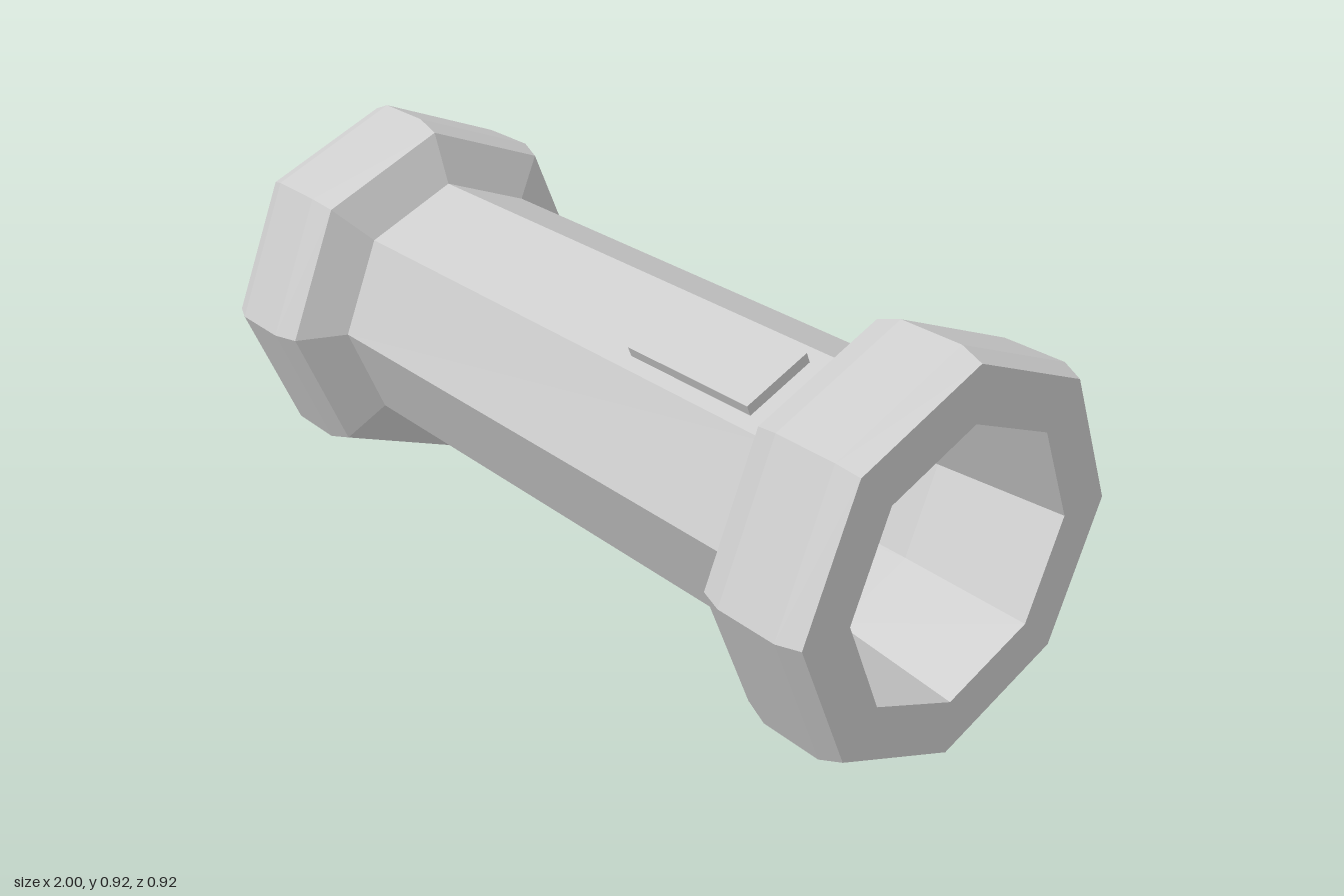
import * as THREE from 'three';

const AXIS_Y = 0.4575; // height of the tube's centre line
const SIDES = 8;

// Faceted octagonal surface from [x, radius] points, turned around the x axis
function turned(name, points, material) {
  const profile = points.map(([x, r]) => new THREE.Vector2(r, x));
  const geometry = new THREE.LatheGeometry(profile, SIDES).rotateZ(-Math.PI / 2).toNonIndexed();
  geometry.computeVertexNormals();
  const mesh = new THREE.Mesh(geometry, material);
  mesh.name = name;
  return mesh;
}

export function createModel() {
  const group = new THREE.Group();
  group.name = 'tubeConnector';
  const grey = new THREE.MeshStandardMaterial({ color: 0xcccccc });
  grey.name = 'light grey';

  const assembly = new THREE.Group();
  assembly.name = 'tubeAssembly';
  assembly.position.y = AXIS_Y;
  group.add(assembly);

  // Straight outer barrel and the bore inside it
  assembly.add(turned('barrel', [[-0.69, 0.318], [0.69, 0.318]], grey));
  assembly.add(turned('bore', [[0.69, 0.283], [-0.69, 0.283]], grey));

  // Collars: flare, chamfered rim, end face and tapered mouth
  const collarProfile = [
    [0.69, 0.318], [0.74, 0.437], [0.8, 0.4575], [0.95, 0.4575],
    [1, 0.437], [1, 0.313], [0.69, 0.283],
  ];
  for (const side of ['left', 'right']) {
    const collar = turned(side + 'Collar', collarProfile, grey);
    if (side === 'right') collar.rotation.y = Math.PI;
    assembly.add(collar);
  }

  // Raised plate lying on the upper front facet
  const tilt = Math.PI / SIDES;
  const plate = new THREE.Mesh(new THREE.BoxGeometry(0.36, 0.03, 0.174), grey);
  plate.name = 'raisedPlate';
  plate.rotation.x = tilt;
  plate.position.set(0.42, 0.304 * Math.cos(tilt), 0.304 * Math.sin(tilt));
  assembly.add(plate);

  return group;
}
